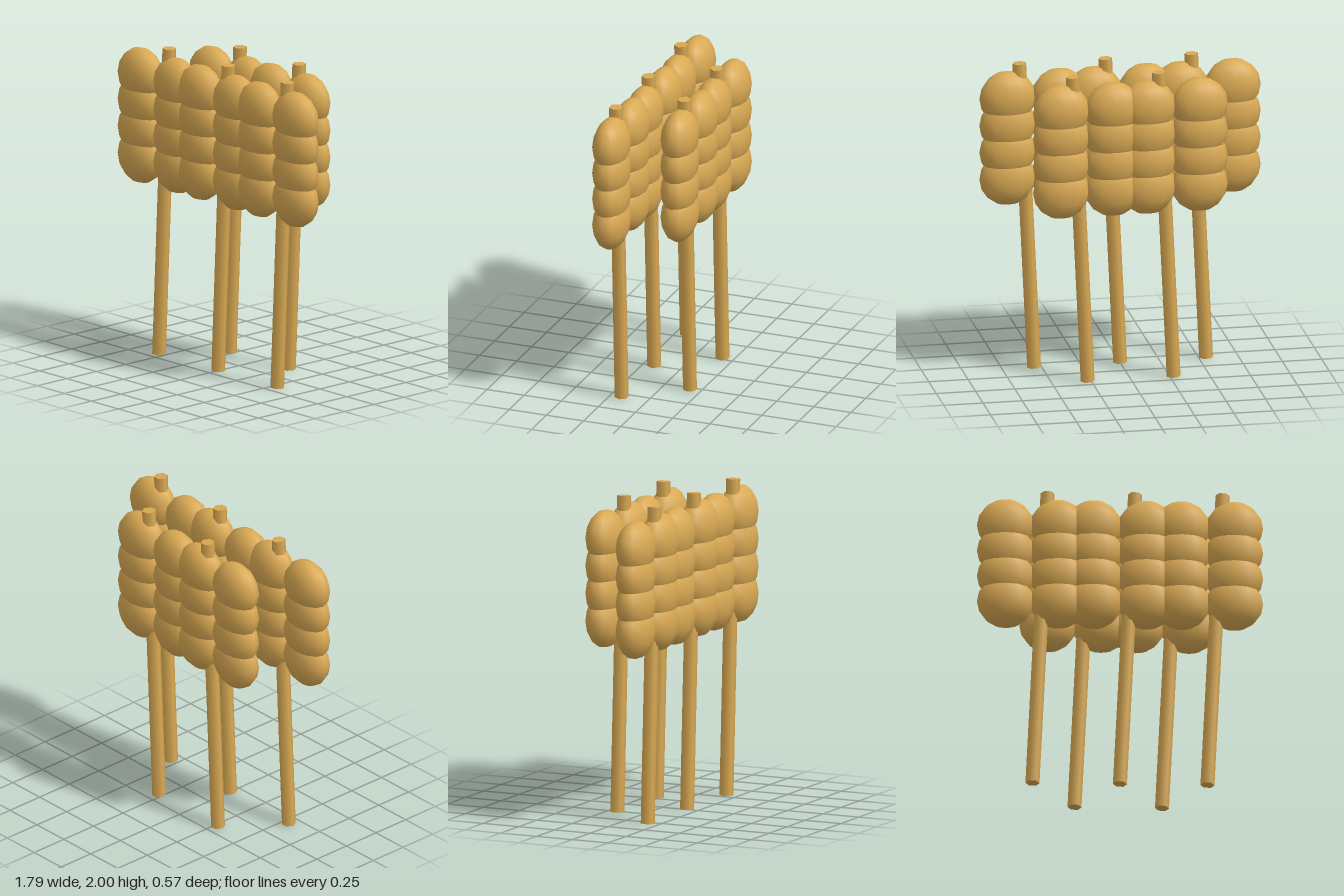
import * as THREE from 'three';

export function createModel() {
  const model = new THREE.Group();
  model.name = 'beadPanelsOnPoles';
  const material = new THREE.MeshStandardMaterial({ color: 0xd9a953 });

  // Flattened lump shared by every column
  const lumpGeometry = new THREE.SphereGeometry(1, 12, 8);
  lumpGeometry.scale(0.18, 0.175, 0.11);

  // Six-sided pole with corners on the x axis, leaning towards +x
  const lean = 0.0475;
  const poleGeometry = new THREE.CylinderGeometry(0.044, 0.044, 1.998, 6);
  poleGeometry.rotateY(Math.PI / 2);
  poleGeometry.rotateZ(-lean);

  const addRow = (name, z, columnXs, poleXs) => {
    const row = new THREE.Group();
    row.name = name;
    row.position.z = z;

    // Columns of four overlapping lumps
    columnXs.forEach((x) => {
      const column = new THREE.Group();
      column.name = 'lumpColumn';
      column.position.x = x;
      for (let i = 0; i < 4; i++) {
        const lump = new THREE.Mesh(lumpGeometry, material);
        lump.name = 'lump';
        lump.position.y = 1.25 + i * 0.175;
        column.add(lump);
      }
      row.add(column);
    });

    // Leaning poles through the columns
    poleXs.forEach((x) => {
      const pole = new THREE.Mesh(poleGeometry, material);
      pole.name = 'pole';
      pole.position.set(x, 1, 0);
      row.add(pole);
    });
    model.add(row);
  };

  addRow('frontRow', 0.175, [-0.715, -0.385, -0.165, 0.165, 0.385, 0.715], [-0.5, 0.047, 0.594]);
  addRow('backRow', -0.175, [-0.44, -0.11, 0.11, 0.44], [-0.227, 0.32]);

  return model;
}
